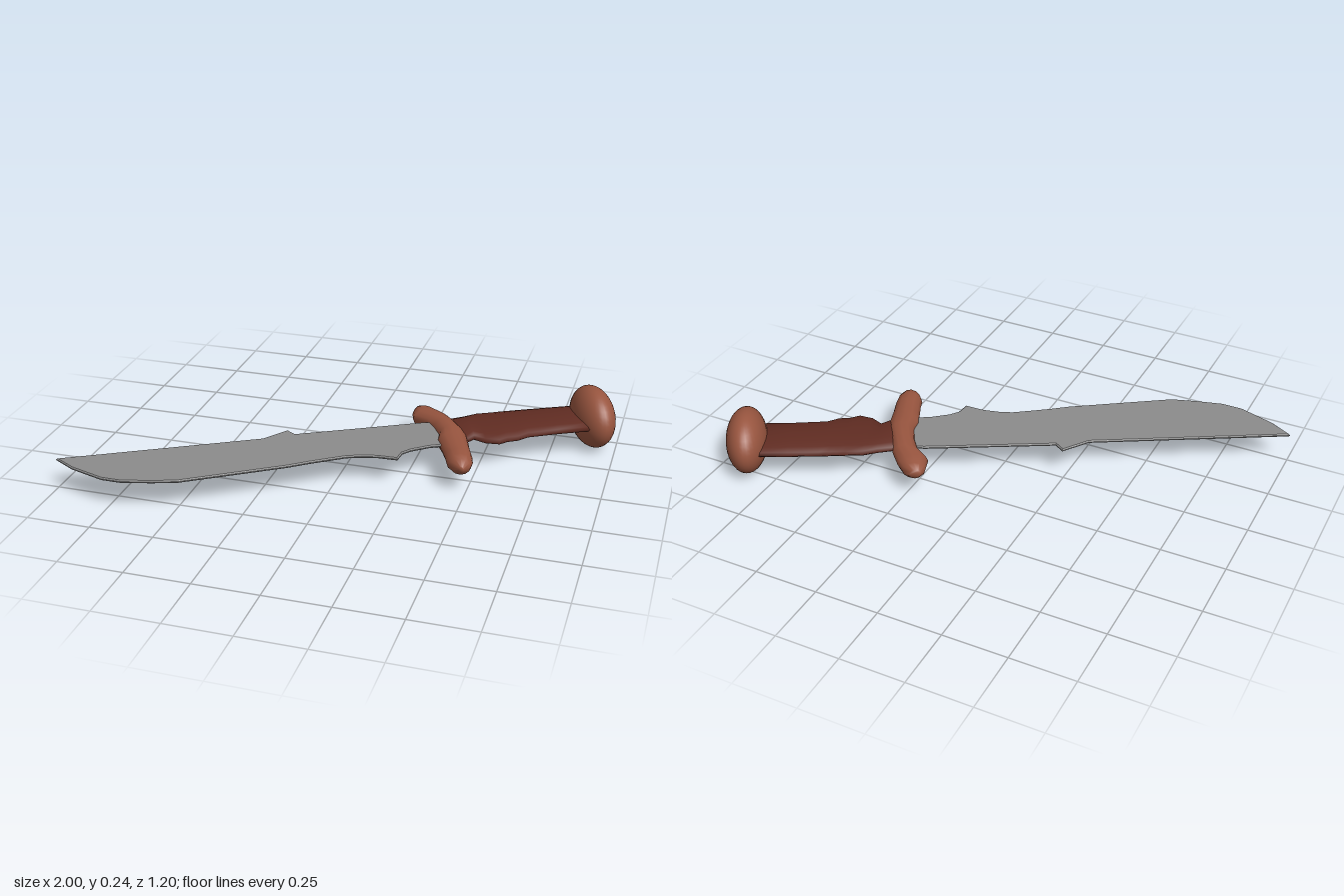
import * as THREE from 'three';

const steel = new THREE.MeshStandardMaterial({ name: 'steel', color: 0x8c8c8c });
const guardBrown = new THREE.MeshStandardMaterial({ name: 'reddish brown', color: 0x98553f });
const gripBrown = new THREE.MeshStandardMaterial({ name: 'dark brown', color: 0x602c22 });

// Skin of elliptical rings; each section is [xA, zA, xB, zB, centreY, halfHeight],
// where A and B are the two edges of the outline as seen from above.
function loft(sections, sides) {
  const pos = [], index = [];
  const row = sides;
  for (const [xa, za, xb, zb, cy, h] of sections) {
    for (let k = 0; k < sides; k++) {
      const t = (k / sides) * Math.PI * 2, c = Math.cos(t) / 2;
      pos.push((xa + xb) / 2 + (xa - xb) * c, cy + h * Math.sin(t), (za + zb) / 2 + (za - zb) * c);
    }
  }
  for (let i = 0; i < sections.length - 1; i++) {
    for (let k = 0; k < sides; k++) {
      const a = i * row + k, b = i * row + (k + 1) % sides;
      index.push(a, b, a + row, b, b + row, a + row);
    }
  }
  // end caps
  const last = (sections.length - 1) * row;
  for (let k = 1; k < sides - 1; k++) {
    index.push(0, k + 1, k, last, last + k, last + k + 1);
  }
  const g = new THREE.BufferGeometry();
  g.setAttribute('position', new THREE.Float32BufferAttribute(pos, 3));
  g.setIndex(index);
  g.computeVertexNormals();
  return g;
}

function addMesh(group, name, geometry, material) {
  const mesh = new THREE.Mesh(geometry, material);
  mesh.name = name;
  group.add(mesh);
  return mesh;
}

export function createModel() {
  const model = new THREE.Group();
  model.name = 'knife';

  // Blade: flat outline lying in the x-z plane, with a narrow ground edge
  const outline = [
    [-1, 0.5], [-0.31, 0.11], [-0.24, 0.01], [-0.2, 0.035], [0.25, -0.21], [0.31, -0.23],
    [0.4, -0.05], [0.33, -0.01], [0.27, 0.04], [0.245, 0.075], [0.24, 0.127], [0.16, 0.13],
    [0.1, 0.145], [0.05, 0.165], [0, 0.2], [-0.07, 0.25], [-0.14, 0.305], [-0.49, 0.537],
    [-0.58, 0.567], [-0.69, 0.597], [-0.77, 0.597], [-0.91, 0.552],
  ].map(([x, z]) => new THREE.Vector2(x, z));
  const blade = new THREE.ExtrudeGeometry(new THREE.Shape(outline), {
    depth: 0.004, bevelEnabled: true, bevelThickness: 0.004,
    bevelSize: 0.005, bevelOffset: -0.005, bevelSegments: 1,
  });
  blade.rotateX(Math.PI / 2).translate(0, 0.119, 0);
  addMesh(model, 'blade', blade, steel);

  // Grip: flattened oval, with a finger swell near the guard
  addMesh(model, 'grip', loft([
    [0.33, -0.26, 0.42, -0.03, 0.117, 0.024],
    [0.4, -0.31, 0.48, -0.14, 0.117, 0.026],
    [0.44, -0.35, 0.53, -0.12, 0.117, 0.027],
    [0.5, -0.383, 0.585, -0.125, 0.117, 0.027],
    [0.53, -0.4, 0.61, -0.155, 0.117, 0.027],
    [0.555, -0.413, 0.65, -0.18, 0.117, 0.027],
    [0.59, -0.431, 0.68, -0.22, 0.117, 0.027],
    [0.7, -0.488, 0.79, -0.285, 0.117, 0.027],
    [0.81, -0.545, 0.905, -0.345, 0.117, 0.026],
  ], 16), gripBrown);

  // Guard: bent bar, swollen where it wraps the blade root
  addMesh(model, 'guard', loft([
    [0.225, -0.37, 0.187, -0.348, 0.105, 0.02],
    [0.262, -0.357, 0.186, -0.315, 0.102, 0.036],
    [0.295, -0.336, 0.202, -0.262, 0.106, 0.038],
    [0.345, -0.285, 0.262, -0.23, 0.11, 0.041],
    [0.385, -0.23, 0.305, -0.18, 0.114, 0.045],
    [0.43, -0.17, 0.34, -0.12, 0.115, 0.045],
    [0.458, -0.12, 0.347, -0.07, 0.113, 0.043],
    [0.48, -0.05, 0.375, -0.02, 0.112, 0.042],
    [0.505, 0.015, 0.405, 0.045, 0.111, 0.041],
    [0.517, 0.06, 0.42, 0.085, 0.11, 0.041],
    [0.516, 0.095, 0.44, 0.108, 0.11, 0.034],
    [0.495, 0.121, 0.475, 0.125, 0.11, 0.012],
  ], 12), guardBrown);

  // Pommel: flattened ball across the end of the grip
  const pommel = addMesh(model, 'pommel', new THREE.SphereGeometry(1, 32, 20), guardBrown);
  pommel.scale.set(0.08, 0.122, 0.15);
  pommel.rotation.y = THREE.MathUtils.degToRad(29.5);
  pommel.position.set(0.895, 0.122, -0.467);

  return model;
}
